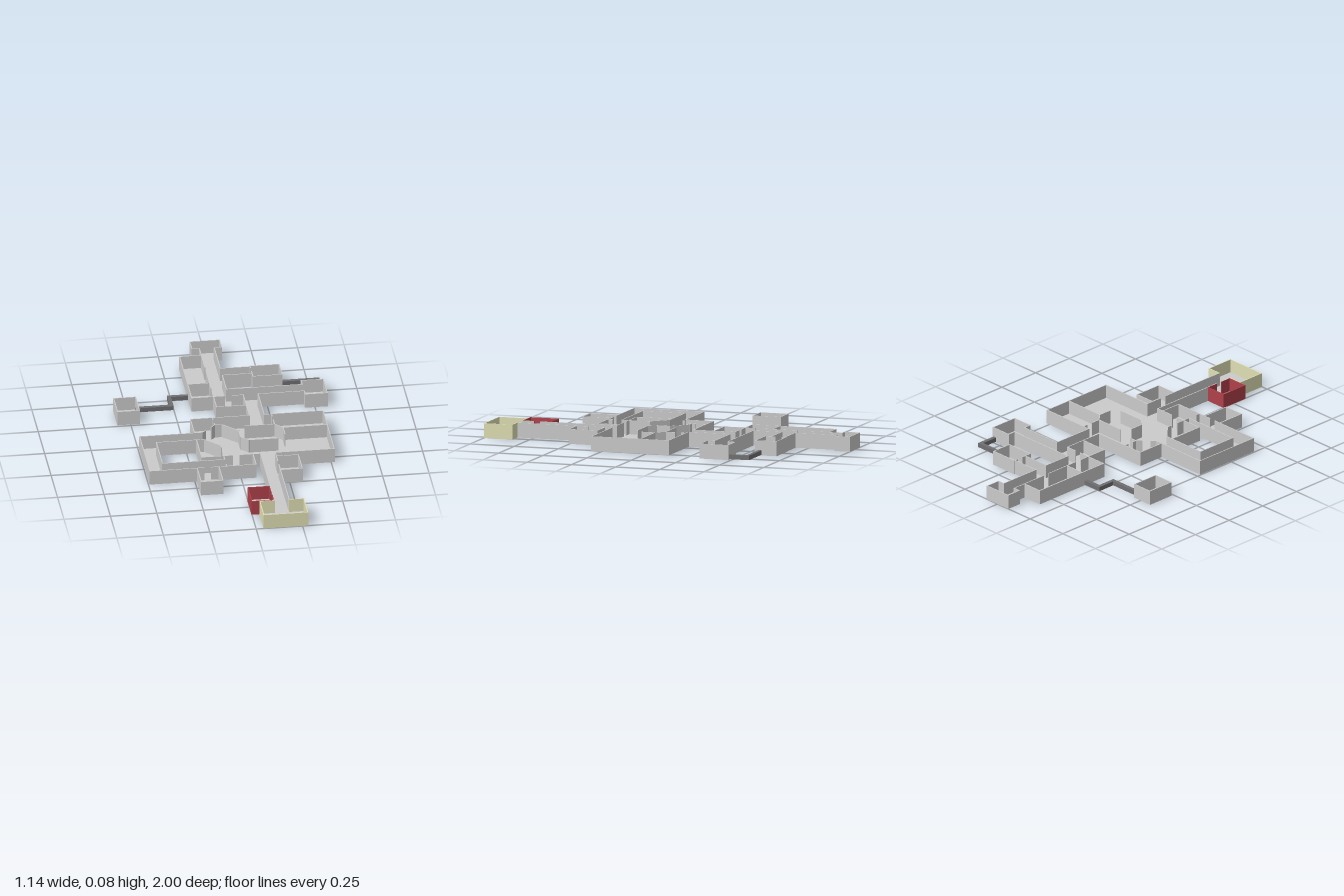
import * as THREE from 'three';
import { mergeGeometries } from 'three/addons/utils/BufferGeometryUtils.js';

const H = 0.08, T = 0.005, FLOOR = 0.005;

// Upright slab along the line (x1,z1)-(x2,z2)
function slab(x1, z1, x2, z2, thick, y0, y1) {
  const len = Math.hypot(x2 - x1, z2 - z1);
  const g = new THREE.BoxGeometry(len + thick, y1 - y0, thick);
  g.rotateY(-Math.atan2(z2 - z1, x2 - x1));
  g.translate((x1 + x2) / 2, (y0 + y1) / 2, (z1 + z2) / 2);
  return g;
}

// Polylines given as flat lists x,z,x,z,...
function run(paths, thick, y0, y1) {
  const parts = [];
  for (const p of paths)
    for (let i = 0; i + 3 < p.length; i += 2)
      parts.push(slab(p[i], p[i + 1], p[i + 2], p[i + 3], thick, y0, y1));
  return mergeGeometries(parts);
}

function floorGeo([x0, z0, x1, z1]) {
  return new THREE.BoxGeometry(x1 - x0, FLOOR, z1 - z0)
    .translate((x0 + x1) / 2, FLOOR / 2, (z0 + z1) / 2);
}

export function createModel() {
  const model = new THREE.Group();
  model.name = 'dungeonMap';
  const mat = color => new THREE.MeshStandardMaterial({ color });
  const grey = mat(0xcccccc), red = mat(0xb0414a), cream = mat(0xe0dfb4), dark = mat(0x707072);
  const add = (name, geo, material) => {
    const m = new THREE.Mesh(geo, material);
    m.name = name;
    model.add(m);
  };

  // Floors: x0, z0, x1, z1
  const floors = {
    northRoom: [-0.08, -1, 0.08, -0.915],
    northCorridor: [-0.04, -0.915, 0.04, -0.365],
    longRoom: [-0.157, -0.838, -0.04, -0.52],
    sideRoom: [-0.157, -0.52, -0.04, -0.365],
    eastPassage: [0.04, -0.677, 0.2, -0.6],
    eastRoom: [0.2, -0.682, 0.357, -0.565],
    crossCorridor: [0.04, -0.44, 0.448, -0.365],
    farEastRoom: [0.448, -0.483, 0.567, -0.325],
    smallRoom: [-0.04, -0.365, 0.12, -0.247],
    middleCorridor: [0.12, -0.365, 0.2, -0.13],
    farWestRoom: [-0.57, -0.42, -0.452, -0.265],
    greatHall: [-0.197, -0.13, 0.517, 0.305],
    loopTop: [-0.492, 0.027, -0.197, 0.105],
    loopSide: [-0.492, 0.105, -0.413, 0.345],
    loopBottom: [-0.492, 0.345, 0.08, 0.422],
    hallAnnex: [-0.078, 0.305, 0.08, 0.345],
    southwestRoom: [-0.237, 0.422, -0.12, 0.58],
    southCorridor: [0.12, 0.305, 0.2, 0.838],
    southeastRoom: [0.2, 0.345, 0.318, 0.502],
    redRoom: [0, 0.677, 0.12, 0.836],
    entranceRoom: [0.042, 0.838, 0.278, 0.998]
  };
  for (const [name, r] of Object.entries(floors)) add(name + 'Floor', floorGeo(r), grey);

  // Walls of the northern wing, with gaps left for doorways
  add('northWalls', run([
    [-0.04, -0.838, -0.04, -0.915, -0.08, -0.915, -0.08, -0.998, 0.08, -0.998, 0.08, -0.915, 0.04, -0.915, 0.04, -0.677, 0.2, -0.677],
    [-0.04, -0.838, -0.157, -0.838, -0.157, -0.365, -0.04, -0.365],
    [-0.157, -0.522, -0.04, -0.522],
    [-0.04, -0.838, -0.04, -0.70], [-0.04, -0.66, -0.04, -0.46], [-0.04, -0.42, -0.04, -0.365],
    [0.2, -0.66, 0.2, -0.682, 0.357, -0.682, 0.357, -0.565, 0.2, -0.565, 0.2, -0.62],
    [0.2, -0.6, 0.04, -0.6, 0.04, -0.44, 0.448, -0.44, 0.448, -0.483, 0.567, -0.483, 0.567, -0.325, 0.448, -0.325, 0.448, -0.365, 0.2, -0.365, 0.2, -0.13],
    [0.02, -0.365, -0.04, -0.365, -0.04, -0.247, 0.12, -0.247],
    [0.06, -0.365, 0.12, -0.365, 0.12, -0.13]
  ], T, 0, H), grey);

  // Isolated western room
  add('farWestWalls', run([[-0.57, -0.42, -0.452, -0.42, -0.452, -0.265, -0.57, -0.265, -0.57, -0.42]], T, 0, H), grey);

  // Outer walls of the great hall and the looping corridor
  add('hallWalls', run([
    [0.12, -0.13, -0.197, -0.13, -0.197, 0.027, -0.492, 0.027, -0.492, 0.422, -0.2, 0.422],
    [0.2, -0.13, 0.517, -0.13, 0.517, 0.305, 0.2, 0.305],
    [-0.413, 0.105, -0.413, 0.345, -0.078, 0.345, -0.078, 0.305, -0.197, 0.305, -0.197, 0.105, -0.413, 0.105],
    [-0.16, 0.422, 0.08, 0.422, 0.08, 0.305, 0.12, 0.305],
    [-0.078, 0.305, -0.03, 0.305], [0.01, 0.305, 0.08, 0.305],
    [-0.078, 0.4, -0.078, 0.422]
  ], T, 0, H), grey);

  // Partitions inside the great hall
  add('hallPartitions', run([
    [-0.078, -0.13, -0.078, -0.11],
    [-0.078, -0.07, -0.078, -0.048, -0.04, -0.048, 0.04, 0.03, 0.04, 0.105, 0.08, 0.145, 0.237, 0.145],
    [-0.078, -0.048, -0.1, -0.026], [-0.135, 0.009, -0.157, 0.027, -0.197, 0.027],
    [-0.197, 0.105, -0.157, 0.105, -0.078, 0.185, -0.078, 0.21], [-0.078, 0.26, -0.078, 0.305],
    [0.24, -0.13, 0.24, -0.105], [0.24, -0.065, 0.24, -0.015],
    [0.08, -0.015, 0.24, -0.015, 0.28, 0.03, 0.517, 0.03], [0.28, 0.03, 0.28, 0.105]
  ], T, 0, H), grey);

  // Southern corridor and its side rooms
  add('southWalls', run([
    [-0.2, 0.422, -0.237, 0.422, -0.237, 0.58, -0.12, 0.58, -0.12, 0.422],
    [0.2, 0.305, 0.2, 0.40], [0.2, 0.44, 0.2, 0.838],
    [0.2, 0.345, 0.318, 0.345, 0.318, 0.502, 0.2, 0.502],
    [0.12, 0.305, 0.12, 0.735], [0.12, 0.775, 0.12, 0.838]
  ], T, 0, H), grey);

  add('redRoomWalls', run([
    [0.117, 0.735, 0.117, 0.677, 0, 0.677, 0, 0.834, 0.117, 0.834, 0.117, 0.775]
  ], T, 0, H), red);
  add('entranceWalls', run([
    [0.12, 0.84, 0.042, 0.84, 0.042, 0.997, 0.278, 0.997, 0.278, 0.84, 0.2, 0.84]
  ], T, 0, H), cream);

  // Low hidden tunnels
  add('westTunnel', run([[-0.165, -0.498, -0.262, -0.498, -0.262, -0.395, -0.445, -0.395]], 0.02, 0.004, 0.028), dark);
  add('eastTunnel', run([[0.365, -0.59, 0.552, -0.59, 0.552, -0.493]], 0.02, 0.004, 0.028), dark);

  return model;
}
